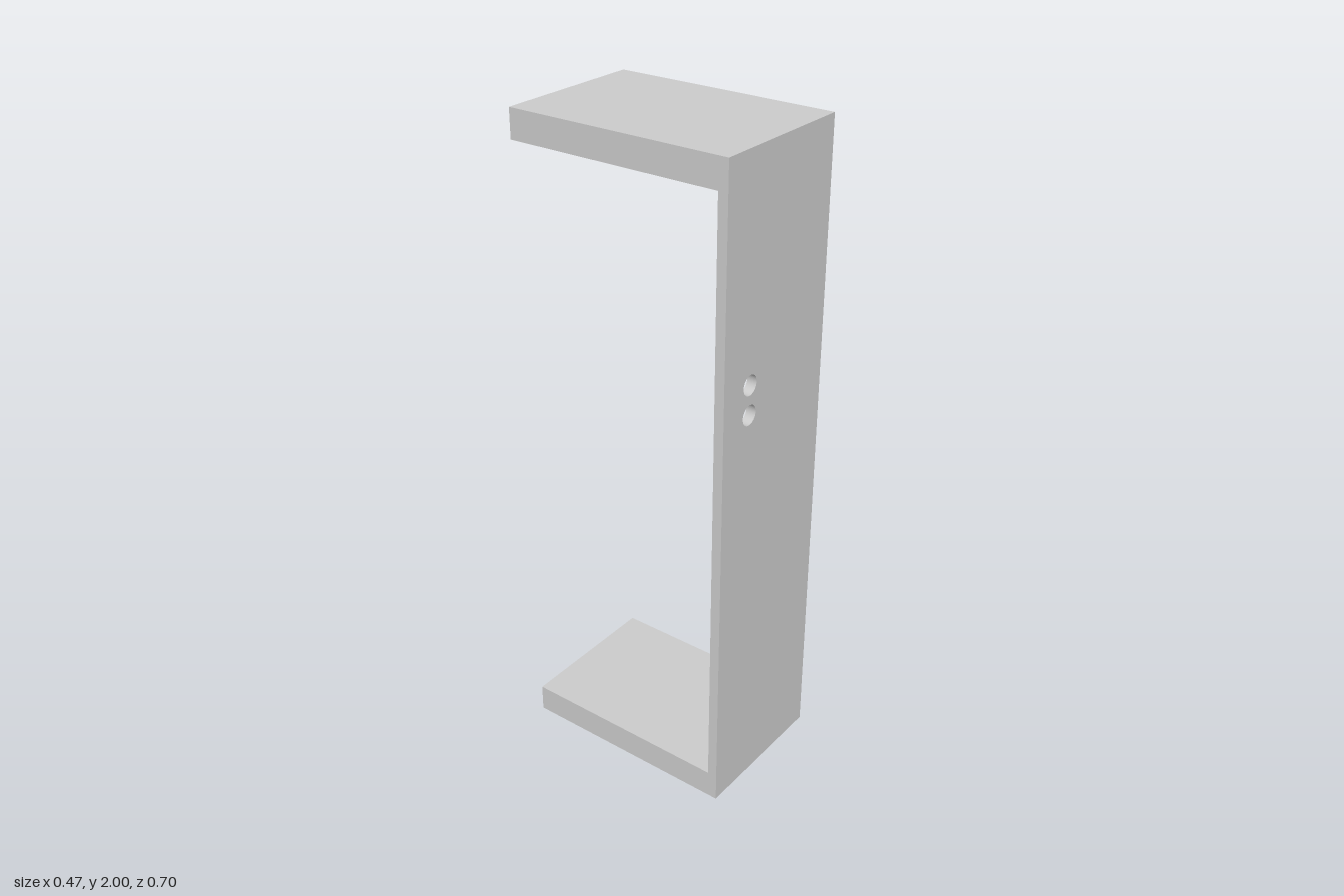
import * as THREE from 'three';

const WIDTH = 0.472, HEIGHT = 2, DEPTH = 0.698;
const PANEL = 0.03, FLANGE = 0.087;
const HOLE_X = -0.118, HOLE_YS = [1.268, 1.357], HOLE_R = 0.03;

export function createModel() {
  const group = new THREE.Group();
  group.name = 'bracket';
  const material = new THREE.MeshStandardMaterial({ color: 0xcccccc });

  const add = (name, geometry, x, y, z) => {
    const mesh = new THREE.Mesh(geometry, material);
    mesh.name = name;
    mesh.position.set(x, y, z);
    group.add(mesh);
  };

  // Thin upright front panel, pierced by two round holes
  const w = WIDTH / 2;
  const outline = new THREE.Shape([
    new THREE.Vector2(-w, 0), new THREE.Vector2(w, 0),
    new THREE.Vector2(w, HEIGHT), new THREE.Vector2(-w, HEIGHT),
  ]);
  for (const y of HOLE_YS) {
    outline.holes.push(new THREE.Path().absarc(HOLE_X, y, HOLE_R, 0, Math.PI * 2, true));
  }
  const panel = new THREE.ExtrudeGeometry(outline, { depth: PANEL, bevelEnabled: false, curveSegments: 32 });
  add('frontPanel', panel, 0, 0, DEPTH / 2 - PANEL);

  // Thicker flanges running back from the panel's ends
  const flange = new THREE.BoxGeometry(WIDTH, FLANGE, DEPTH - PANEL);
  add('bottomFlange', flange, 0, FLANGE / 2, -PANEL / 2);
  add('topFlange', flange, 0, HEIGHT - FLANGE / 2, -PANEL / 2);

  return group;
}
